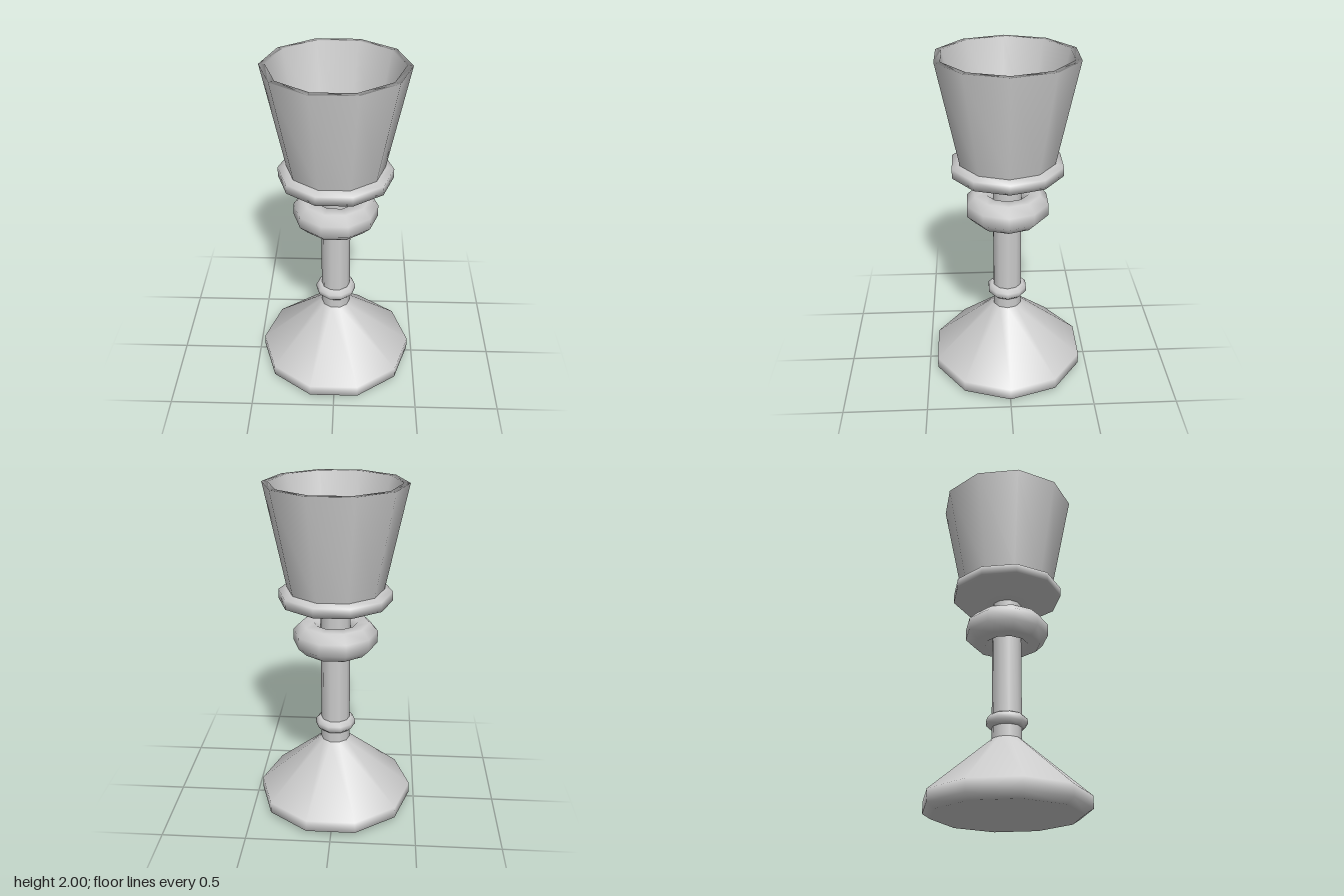
import * as THREE from 'three';

const SIDES = 10;

export function createModel() {
  const group = new THREE.Group();
  const material = new THREE.MeshStandardMaterial({ color: 0xcccccc });

  // Ten-sided turned part from [radius, height] pairs, with a corner on +x
  const turn = (name, profile) => {
    const points = profile.map(([r, y]) => new THREE.Vector2(r, y));
    const mesh = new THREE.Mesh(new THREE.LatheGeometry(points, SIDES, Math.PI / 2), material);
    mesh.name = name;
    group.add(mesh);
  };

  // Closed ring profile with eight sides, starting on its hidden inner face
  const ringProfile = (radius, height, halfWidth, halfHeight) =>
    Array.from({ length: 9 }, (_, i) => {
      const a = -Math.PI * 0.875 + (i * Math.PI) / 4;
      const k = 1 / Math.cos(Math.PI / 8);
      return [radius + halfWidth * k * Math.cos(a), height + halfHeight * k * Math.sin(a)];
    });

  // Conical foot with a bevelled rim
  turn('foot', [[0, 0], [0.42, 0], [0.468, 0.03], [0.468, 0.1], [0.087, 0.43]]);

  // Slender column and its two rings
  turn('stem', [[0.087, 0.43], [0.087, 1.28]]);
  turn('smallRing', ringProfile(0.085, 0.535, 0.035, 0.035));
  turn('largeRing', ringProfile(0.163, 1.105, 0.085, 0.085));

  // Flared collar under the cup
  turn('collar', [[0.087, 1.28], [0.33, 1.33], [0.33, 1.385], [0.28, 1.4]]);

  // Hollow cup: outer wall, lip, inner wall and floor
  turn('cup', [[0.28, 1.39], [0.405, 2], [0.37, 2], [0.255, 1.44], [0.2, 1.41], [0, 1.4]]);

  return group;
}
